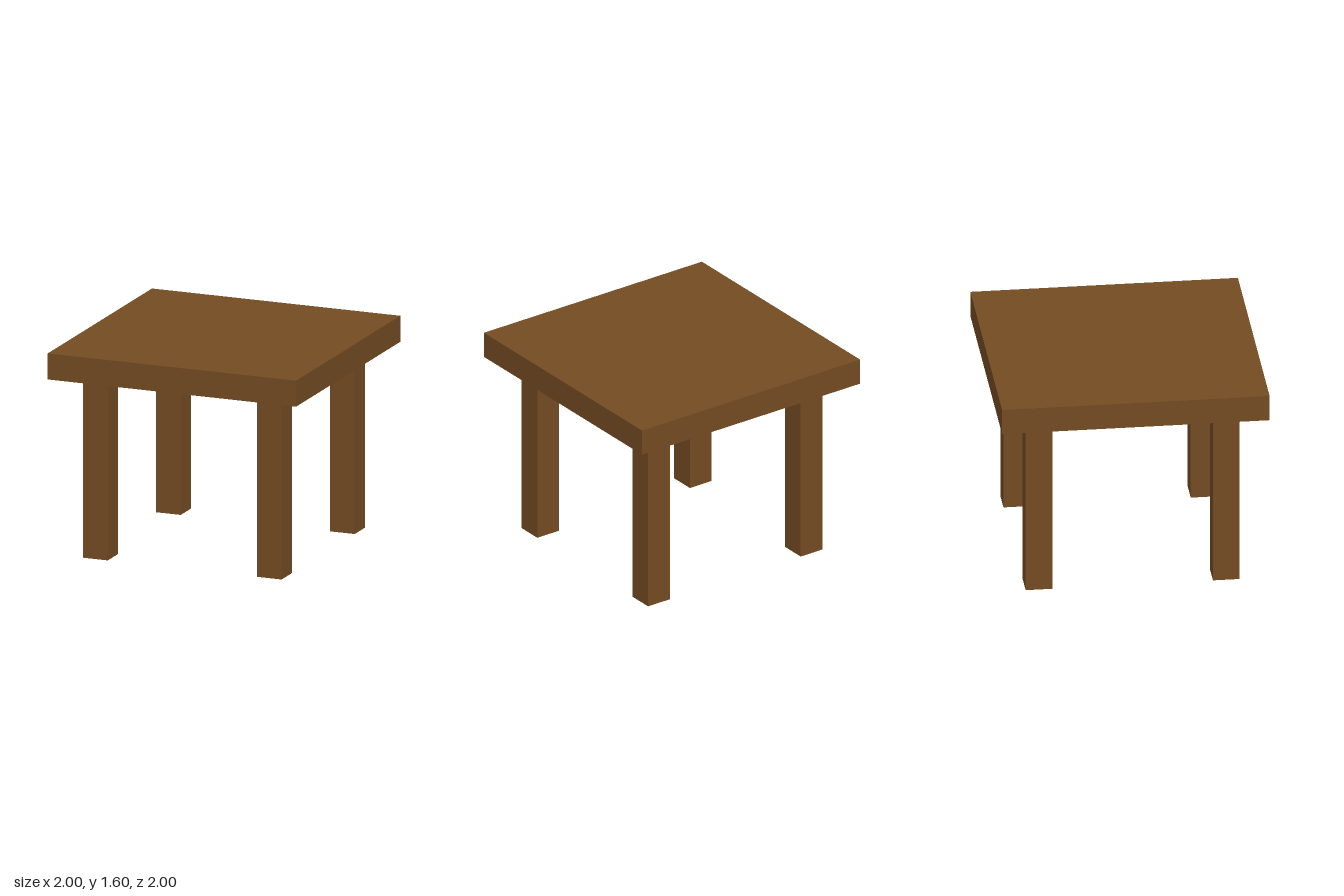
import * as THREE from 'three';

export function createModel() {
  const table = new THREE.Group();
  table.name = 'table';
  const wood = new THREE.MeshStandardMaterial({ color: 0x734b22 });

  const addBox = (name, size, position) => {
    const mesh = new THREE.Mesh(new THREE.BoxGeometry(...size), wood);
    mesh.name = name;
    mesh.position.set(...position);
    table.add(mesh);
  };

  // Square slab top
  addBox('tableTop', [2, 0.2, 2], [0, 1.5, 0]);

  // Four square legs, set in from the corners
  for (const [endName, z] of [['front', 0.7], ['back', -0.7]]) {
    for (const [sideName, x] of [['Left', 0.7], ['Right', -0.7]]) {
      addBox(`${endName}${sideName}Leg`, [0.2, 1.4, 0.2], [x, 0.7, z]);
    }
  }

  return table;
}
